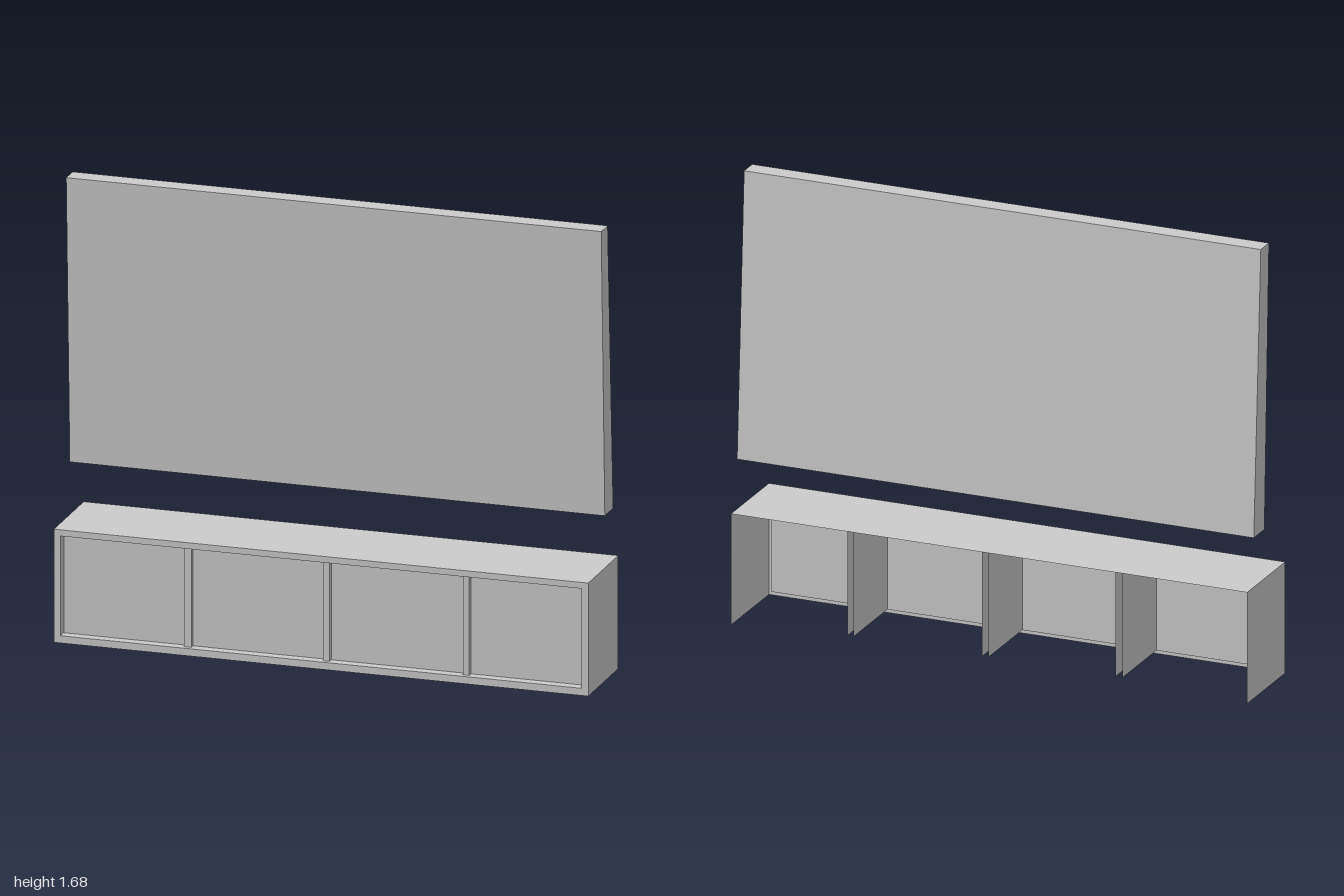
import * as THREE from 'three';

const material = new THREE.MeshStandardMaterial({ color: 0xcccccc, side: THREE.DoubleSide, flatShading: true });

// Thin four-cornered sheet; corners run counter-clockwise seen from outside
function sheet(group, name, a, b, c, d) {
  const geometry = new THREE.BufferGeometry();
  geometry.setAttribute('position', new THREE.Float32BufferAttribute([...a, ...b, ...c, ...d], 3));
  geometry.setIndex([0, 1, 2, 0, 2, 3]);
  geometry.computeVertexNormals();
  const mesh = new THREE.Mesh(geometry, material);
  mesh.name = name;
  group.add(mesh);
}

// Sheets square to one axis
const facingX = (g, name, x, y0, y1, z0, z1) =>
  sheet(g, name, [x, y0, z1], [x, y0, z0], [x, y1, z0], [x, y1, z1]);
const facingY = (g, name, y, x0, x1, z0, z1) =>
  sheet(g, name, [x0, y, z1], [x1, y, z1], [x1, y, z0], [x0, y, z0]);
const facingZ = (g, name, z, x0, x1, y0, y1) =>
  sheet(g, name, [x0, y0, z], [x1, y0, z], [x1, y1, z], [x0, y1, z]);

function createCabinet() {
  const cabinet = new THREE.Group();
  cabinet.name = 'cabinet';
  const W = 0.995, H = 0.42, back = -0.17, front = 0.167;
  const inX = 0.97, inY0 = 0.027, inY1 = 0.397; // frame opening
  const postZ = 0.15, panelZ = 0.13;

  // Outer shell, open at the back and underneath
  facingY(cabinet, 'cabinetTop', H, -W, W, back, front);
  for (const s of [-1, 1]) facingX(cabinet, 'cabinetSide', s * W, 0, H, back, front);

  // Front frame with one wide opening
  const frame = new THREE.Shape([[-W, 0], [W, 0], [W, H], [-W, H]].map(p => new THREE.Vector2(...p)));
  frame.holes.push(new THREE.Path([[-inX, inY0], [-inX, inY1], [inX, inY1], [inX, inY0]].map(p => new THREE.Vector2(...p))));
  const face = new THREE.Mesh(new THREE.ShapeGeometry(frame), material);
  face.name = 'frontFrame';
  face.position.z = front;
  cabinet.add(face);

  // Reveals leading in to the recessed panels
  for (const y of [inY0, inY1]) facingY(cabinet, 'frameReveal', y, -inX, inX, panelZ, front);
  for (const s of [-1, 1]) facingX(cabinet, 'frameReveal', s * inX, inY0, inY1, panelZ, front);

  // Hollow dividers with a narrow post on the front, and the panels between them
  const posts = [[-0.515, -0.488], [0.002, 0.026], [0.522, 0.546]];
  let start = -inX;
  for (const [x0, x1] of posts) {
    facingZ(cabinet, 'dividerPost', postZ, x0, x1, inY0, inY1);
    for (const x of [x0, x1]) {
      facingX(cabinet, 'divider', x, inY0, H, back, panelZ);
      facingX(cabinet, 'postSide', x, inY0, inY1, panelZ, postZ);
    }
    facingZ(cabinet, 'frontPanel', panelZ, start, x0, inY0, inY1);
    start = x1;
  }
  facingZ(cabinet, 'frontPanel', panelZ, start, inX, inY0, inY1);
  return cabinet;
}

function createScreen() {
  const screen = new THREE.Group();
  screen.name = 'screen';
  // Leaning side profile [y, z]: front bottom, front top, back top, back bottom
  const profile = [[0.61, -0.028], [1.677, 0.012], [1.677, -0.06], [0.61, -0.122]];
  const xL = -1, xR = 0.992;
  const at = (x, i) => [x, ...profile[i]];

  // Front, top and back wrap round the profile; the underside is open
  ['screenFront', 'screenTop', 'screenBack'].forEach((name, i) =>
    sheet(screen, name, at(xL, i), at(xR, i), at(xR, i + 1), at(xL, i + 1)));
  sheet(screen, 'screenSide', at(xR, 0), at(xR, 3), at(xR, 2), at(xR, 1));
  sheet(screen, 'screenSide', at(xL, 0), at(xL, 1), at(xL, 2), at(xL, 3));
  return screen;
}

export function createModel() {
  const model = new THREE.Group();
  model.name = 'mediaUnit';
  model.add(createCabinet(), createScreen());
  return model;
}
